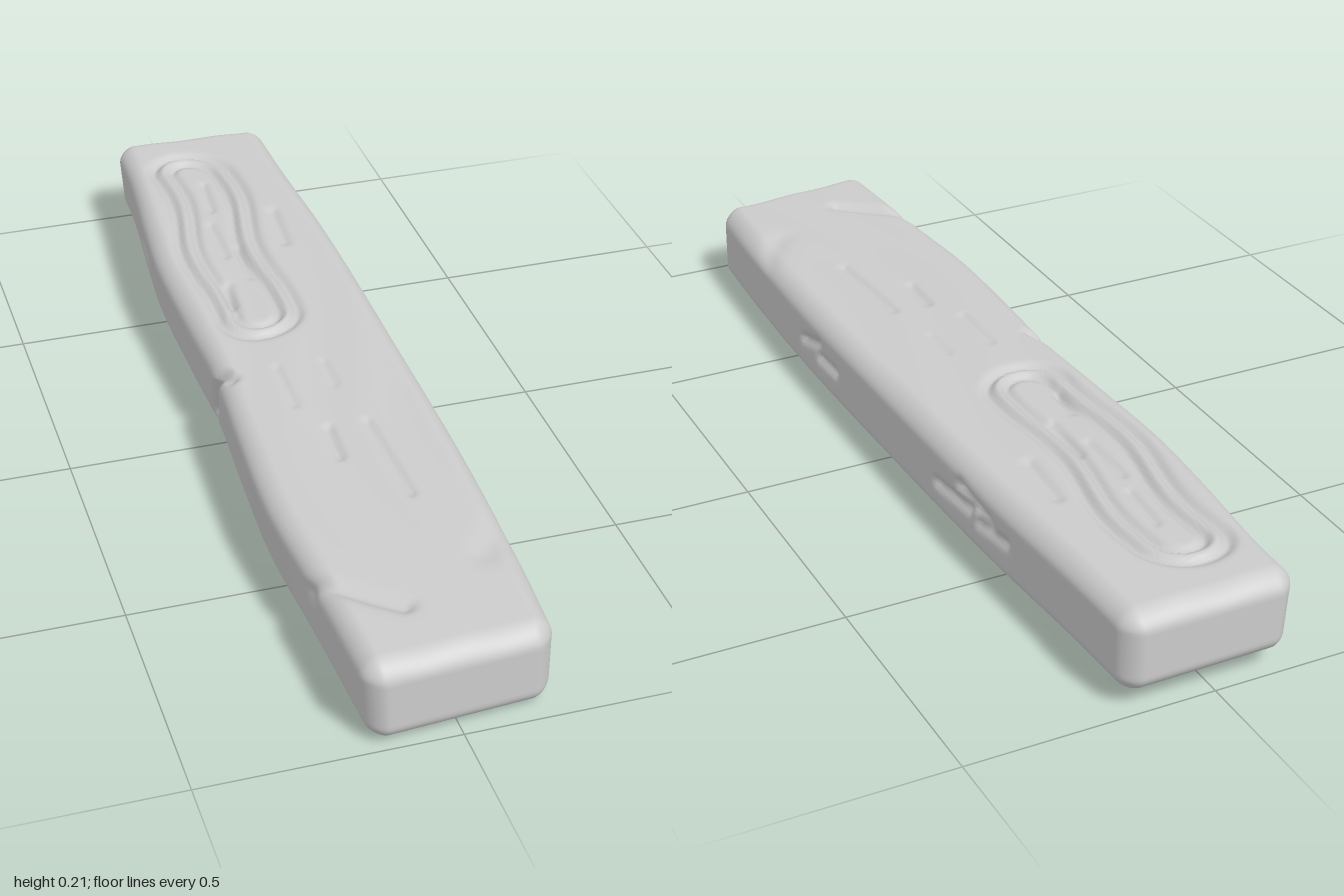
import * as THREE from 'three';
import { mergeVertices } from 'three/addons/utils/BufferGeometryUtils.js';

const W = 0.2, H = 0.1, L = 1, BEVEL = 0.042;

// Smooth curve through values placed along the plank's length
const along = (zs, vs) => {
  const curve = new THREE.CubicInterpolant(zs, vs, 1);
  return z => curve.evaluate(z)[0];
};
const leftEdge = along([-1, -0.85, -0.6, -0.45, -0.2, 0, 0.2, 0.45, 0.7, 1],
  [-0.168, -0.172, -0.195, -0.205, -0.2, -0.194, -0.205, -0.215, -0.2, -0.186]);
const rightEdge = along([-1, -0.8, -0.5, 0, 0.4, 0.7, 1],
  [0.184, 0.19, 0.205, 0.21, 0.21, 0.2, 0.184]);
const topEdge = along([-1, -0.6, 0, 0.5, 1], [0.205, 0.204, 0.196, 0.187, 0.18]);
const bottomEdge = along([-1, -0.6, 0, 0.5, 1], [0.036, 0.028, 0.014, 0.008, 0.004]);

// Distance from (a, b) to a segment
function segment(a, b, [a0, b0, a1, b1]) {
  const da = a1 - a0, db = b1 - b0;
  const t = THREE.MathUtils.clamp(((a - a0) * da + (b - b0) * db) / (da * da + db * db), 0, 1);
  return Math.hypot(a - a0 - t * da, b - b0 - t * db);
}
const bump = (d, width) => Math.exp(-((d / width) ** 2));

// Grooves: [start, end, width, depth]; top ones in (x, z), side ones in (z, y)
const topGrooves = [
  [-0.07, 0.04, -0.07, 0.18, 0.008, 0.005],
  [-0.03, 0.27, -0.035, 0.37, 0.009, 0.008],
  [0.03, 0.04, 0.03, 0.13, 0.007, 0.004],
  [0.05, 0.27, 0.06, 0.52, 0.009, 0.007],
  [0.1, -0.58, 0.09, -0.44, 0.012, 0.007],
  [-0.02, -0.74, -0.03, -0.62, 0.008, 0.006],
  [-0.05, -0.56, -0.05, -0.42, 0.008, 0.006],
  [-0.02, -0.45, -0.025, -0.32, 0.008, 0.006],
  [-0.08, -0.3, -0.09, -0.22, 0.01, 0.008],
  [-0.21, 0.71, -0.06, 0.84, 0.018, 0.013],
  [-0.21, -0.02, -0.165, 0.05, 0.012, 0.016],
  [0.2, 0.64, 0.13, 0.73, 0.03, 0.006],
];
const rightGrooves = [
  [0.4, 0.1, 0.31, 0.125, 0.012, 0.012],
  [0.31, 0.095, 0.22, 0.1, 0.012, 0.012],
  [-0.28, 0.1, -0.42, 0.115, 0.012, 0.012],
  [-0.38, 0.145, -0.5, 0.13, 0.014, 0.014],
  [-0.46, 0.105, -0.57, 0.12, 0.012, 0.01],
];
const leftGrooves = [
  [0.03, 0.2, -0.03, 0.06, 0.014, 0.016],
  [-0.6, 0.1, -0.7, 0.11, 0.014, 0.008],
  [0.74, 0.2, 0.7, 0.14, 0.02, 0.01],
];
const carve = (grooves, a, b) => grooves.reduce(
  (sum, g) => sum + g[5] * bump(segment(a, b, g), g[4]), 0);

// Elongated knot: two wavy rings around a raised heart
function knot(x, z) {
  const wavyX = x + 0.012 * Math.sin(z * 13 + 1);
  const d = segment(wavyX, z, [-0.03, -0.8, -0.06, -0.17]);
  return 0.011 * bump(d - 0.085, 0.012) + 0.010 * bump(d - 0.045, 0.01)
    - 0.004 * bump(d - 0.065, 0.01) + 0.003 * bump(d, 0.07);
}

function plankGeometry() {
  let geo = new THREE.BoxGeometry(2 * W, 2 * H, 2 * L, 60, 24, 250);
  geo.deleteAttribute('uv');
  geo.deleteAttribute('normal');
  geo = mergeVertices(geo, 1e-5);
  const pos = geo.attributes.position;
  const p = new THREE.Vector3(), inner = new THREE.Vector3(), n = new THREE.Vector3();
  const limit = new THREE.Vector3(W - BEVEL, H - BEVEL, L - BEVEL);
  const low = limit.clone().negate();

  for (let i = 0; i < pos.count; i++) {
    // Soft chamfer on every edge
    p.fromBufferAttribute(pos, i);
    inner.copy(p).clamp(low, limit);
    n.subVectors(p, inner);
    const e = 1.6;
    n.divideScalar((Math.abs(n.x) ** e + Math.abs(n.y) ** e + Math.abs(n.z) ** e) ** (1 / e));
    p.copy(inner).addScaledVector(n, BEVEL);

    // Uneven outline and gentle rise towards the back
    const z = p.z, left = leftEdge(z), right = rightEdge(z);
    const top = topEdge(z), bottom = bottomEdge(z);
    const v = (p.y + H) / (2 * H);
    p.x = left + (right - left) * (p.x + W) / (2 * W);
    if (p.x < 0) p.x *= 1 - 0.08 * (1 - v);
    p.y = bottom + (top - bottom) * v - 0.012 * p.x;

    // Grain, knot and gouges
    if (n.y > 0) {
      p.y -= n.y * (carve(topGrooves, p.x, z) + knot(p.x, z)
        + 0.0012 * Math.sin(p.x * 40 + 3 * Math.sin(z * 4)));
    }
    if (n.x > 0) p.x -= n.x * carve(rightGrooves, z, p.y);
    if (n.x < 0) p.x -= n.x * carve(leftGrooves, z, p.y);

    // Slanted front cut
    p.z -= 0.085 * (p.x + 0.19) * THREE.MathUtils.smoothstep(z, 0.75, 0.96);
    pos.setXYZ(i, p.x, Math.max(p.y, 0), p.z);
  }
  geo.computeVertexNormals();
  return geo;
}

export function createModel() {
  const model = new THREE.Group();
  model.name = 'woodenPlank';
  const plank = new THREE.Mesh(plankGeometry(), new THREE.MeshStandardMaterial({ color: 0xcccccc }));
  plank.name = 'plank';
  model.add(plank);
  return model;
}
